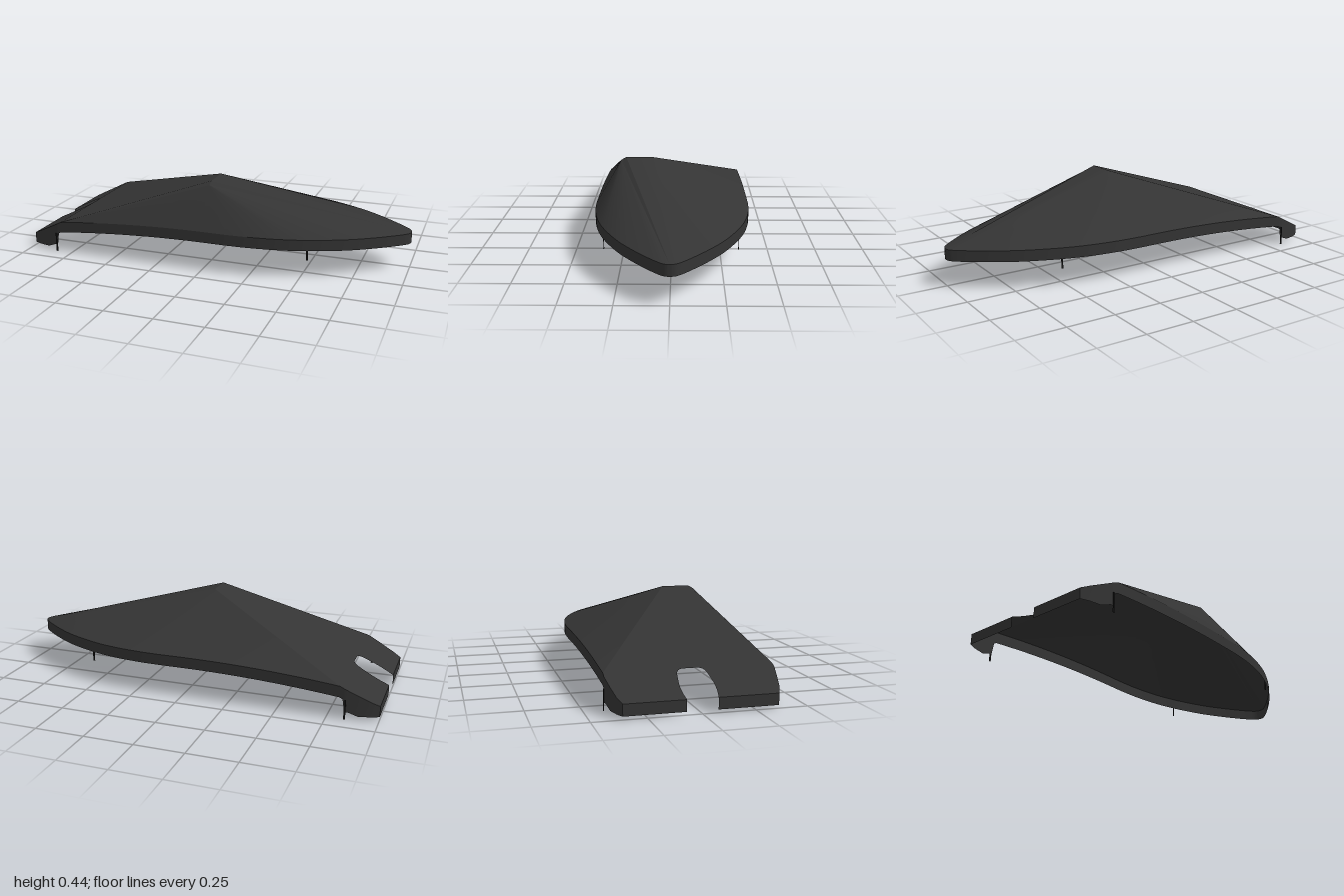
import * as THREE from 'three';
import { toCreasedNormals } from 'three/addons/utils/BufferGeometryUtils.js';

const FOLD = -0.81; // where the cover folds down to the stern
const W = 0.405;    // half width

// Height of the rim along the length
function rimY(x) {
  if (x <= FOLD) return 0.07 + (x + 1) * (0.095 / (1 + FOLD));
  if (x < 0) return 0.21 - 0.045 * Math.pow(x / FOLD, 2);
  return 0.21 - 0.017 * x * x;
}

// Lower edge of the skirt, with deeper flaps at the stern
function hemY(x) {
  if (x < -0.87) return 0.015;
  if (x < -0.83) return 0.035;
  return rimY(x) - 0.057;
}

function surface(triangles, crease) {
  const g = new THREE.BufferGeometry().setFromPoints(triangles.flat());
  return toCreasedNormals(g, crease);
}

export function createModel() {
  const group = new THREE.Group();
  const fabric = new THREE.MeshStandardMaterial({ color: 0x343434, side: THREE.DoubleSide });
  fabric.name = 'dark grey fabric';
  const black = new THREE.MeshStandardMaterial({ color: 0x161616 });
  black.name = 'black strap';

  const add = (name, geometry, material) => {
    const mesh = new THREE.Mesh(geometry, material);
    mesh.name = name;
    group.add(mesh);
    return mesh;
  };

  // Half outline in plan as [x, half width], from the fold to the nose
  const bow = new THREE.SplineCurve([
    [0.12, W], [0.25, 0.397], [0.4, 0.372], [0.54, 0.329], [0.7, 0.255],
    [0.82, 0.178], [0.92, 0.1], [0.975, 0.05], [0.994, 0.025], [1, 0],
  ].map(([x, z]) => new THREE.Vector2(x, z))).getPoints(48);
  const side = [];
  for (let i = 0; i < 14; i++) side.push(new THREE.Vector2(FOLD + (0.12 - FOLD) * i / 14, W));
  side.push(...bow);
  const rim = (s) => side.map((p) => new THREE.Vector3(p.x, rimY(p.x), s * p.y));
  const left = rim(1), right = rim(-1);
  const nose = left[left.length - 1];

  // Main cover: a tent stretched from a short cross ridge to the rim
  const a = new THREE.Vector3(0, 0.435, 0.105);
  const b = new THREE.Vector3(0, 0.435, 0.25);
  const c = new THREE.Vector3(0, 0.42, 0.277);
  const tris = [
    [a, right[0], left[0]], [a, left[0], b], [b, left[0], c],
    [a, b, nose], [b, c, nose],
  ];
  for (let i = 0; i < side.length - 1; i++) {
    tris.push([a, right[i + 1], right[i]], [c, left[i], left[i + 1]]);
  }
  add('coverTop', surface(tris, 0.35), fabric);

  // Stern panel with a rounded slot for the motor
  const stern = [[-1, 0.36], [-0.96, 0.378], [-0.9, 0.392], [-0.85, 0.402], [-0.835, W], [-0.825, W]];
  const s = new THREE.Shape();
  s.moveTo(-1, 0.075);
  stern.forEach(([x, z]) => s.lineTo(x, z));
  s.lineTo(FOLD, W);
  s.lineTo(FOLD, -W);
  [...stern].reverse().forEach(([x, z]) => s.lineTo(x, -z));
  s.lineTo(-1, -0.072);
  s.quadraticCurveTo(-0.96, -0.083, -0.91, -0.081);
  s.lineTo(-0.85, -0.072);
  s.quadraticCurveTo(-0.812, -0.066, -0.812, -0.03);
  s.lineTo(-0.812, 0.03);
  s.quadraticCurveTo(-0.812, 0.066, -0.85, 0.072);
  s.lineTo(-0.91, 0.081);
  s.quadraticCurveTo(-0.96, 0.083, -1, 0.072);
  const panel = new THREE.ShapeGeometry(s, 8).rotateX(-Math.PI / 2);
  const pos = panel.attributes.position;
  for (let i = 0; i < pos.count; i++) pos.setY(i, rimY(pos.getX(i)));
  panel.computeVertexNormals();
  add('sternPanel', panel, fabric);

  // Skirt hanging from the rim, from one side of the slot round to the other
  const half = [[-1, 0.073], ...stern, ...side.map((p) => [p.x, p.y])];
  const path = [...half, ...half.slice(0, -1).reverse().map(([x, z]) => [x, -z])];
  const wall = [];
  for (let i = 0; i < path.length - 1; i++) {
    const [p, q] = [path[i], path[i + 1]];
    const at = ([x, z], f) => new THREE.Vector3(x, f(x), z);
    wall.push([at(p, hemY), at(q, hemY), at(q, rimY)], [at(p, hemY), at(q, rimY), at(p, rimY)]);
  }
  add('skirt', surface(wall, 0.4), fabric);

  // Tie-down straps with small hooks
  const strap = (x, z, top, bottom) => {
    const h = top - bottom;
    add('strap', new THREE.BoxGeometry(0.009, h, 0.003), black).position.set(x, bottom + h / 2, z);
    const hook = add('strapHook', new THREE.CylinderGeometry(0.003, 0.006, 0.014, 8), black);
    hook.scale.z = 0.5;
    hook.position.set(x, bottom + 0.007, z);
  };
  for (const m of [1, -1]) {
    strap(0.535, m * 0.33, 0.15, 0.1);
    strap(-0.838, m * 0.409, 0.1, 0);
  }
  return group;
}
